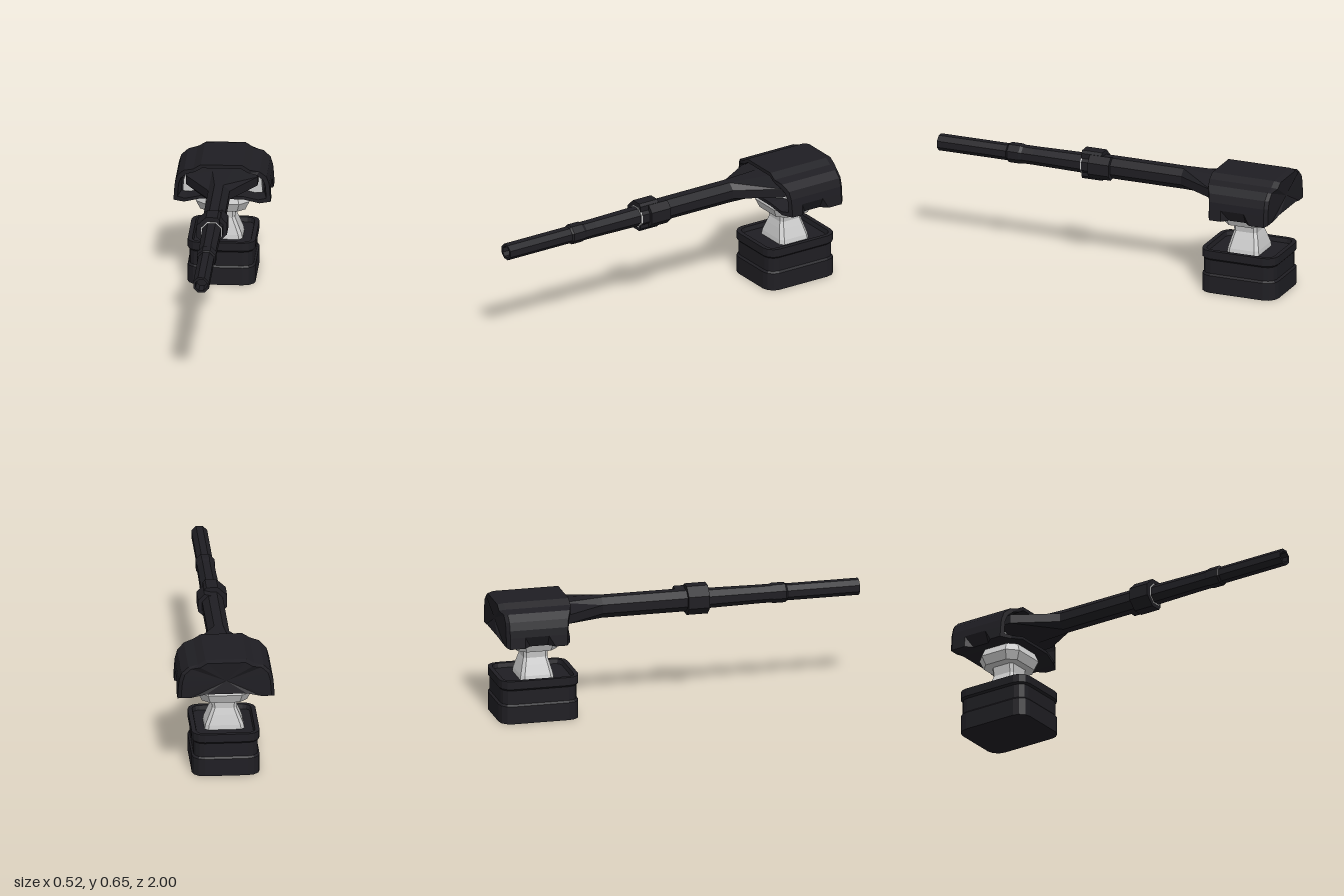
import * as THREE from 'three';

const grey = new THREE.MeshStandardMaterial({ color: 0xcccccc, flatShading: true });
const dark = new THREE.MeshStandardMaterial({ color: 0x1f1e23, flatShading: true });

// Skin a list of equal-length rings (counter-clockwise about the travel axis), capped at both ends.
function loft(name, rings, material) {
  const pos = [];
  const tri = (...pts) => pts.forEach((p) => pos.push(p.x, p.y, p.z));
  const n = rings[0].length;
  for (let r = 0; r < rings.length - 1; r++) {
    for (let i = 0; i < n; i++) {
      const j = (i + 1) % n, a = rings[r], b = rings[r + 1];
      tri(a[i], a[j], b[j]);
      tri(a[i], b[j], b[i]);
    }
  }
  const cap = (ring, flip) => {
    const c = ring.reduce((s, p) => s.add(p), new THREE.Vector3()).divideScalar(n);
    ring.forEach((p, i) => {
      const q = ring[(i + 1) % n];
      flip ? tri(c, q, p) : tri(c, p, q);
    });
  };
  cap(rings[0], true);
  cap(rings[rings.length - 1], false);
  const g = new THREE.BufferGeometry();
  g.setAttribute('position', new THREE.Float32BufferAttribute(pos, 3));
  g.computeVertexNormals();
  const mesh = new THREE.Mesh(g, material);
  mesh.name = name;
  return mesh;
}

const BASE_Z = -0.778;
const AXIS_Y = 0.56;

// Horizontal rectangle ring with rounded (or, with one segment, chamfered) corners.
function rectRing(y, hw, hd, r, seg) {
  const pts = [];
  [[1, 1], [-1, 1], [-1, -1], [1, -1]].forEach(([sx, sz], k) => {
    for (let i = 0; i <= seg; i++) {
      const a = (k + i / seg) * Math.PI / 2;
      pts.push(new THREE.Vector3(
        sx * (hw - r) + r * Math.cos(a), y, BASE_Z - sz * (hd - r) - r * Math.sin(a)));
    }
  });
  return pts;
}

// Octagon ring across the barrel axis, given its flat-to-centre distance.
function octRing(z, apothem) {
  return Array.from({ length: 8 }, (_, i) => {
    const a = (i - 0.5) * Math.PI / 4, r = apothem / Math.cos(Math.PI / 8);
    return new THREE.Vector3(r * Math.cos(a), AXIS_Y + r * Math.sin(a), z);
  });
}

const octTube = (name, steps, material = dark) =>
  loft(name, steps.map(([z, a]) => octRing(z, a)), material);

function extrude(name, points, z0, z1) {
  const shape = new THREE.Shape(points.map(([x, y]) => new THREE.Vector2(x, y)));
  const g = new THREE.ExtrudeGeometry(shape, { depth: z1 - z0, bevelEnabled: false });
  const mesh = new THREE.Mesh(g, dark);
  mesh.name = name;
  mesh.position.z = z0;
  return mesh;
}

// Mirrored hood cross-sections, right half from bottom to top.
const mirror = (half) => [...half, ...half.map(([x, y]) => [-x, y]).reverse()];
const hoodOuter = mirror([[0.115, 0.465], [0.2, 0.44], [0.258, 0.44], [0.254, 0.5], [0.25, 0.54],
  [0.237, 0.583], [0.2, 0.617], [0.15, 0.63], [0.11, 0.655]]);
const hoodInner = mirror([[0.11, 0.482], [0.195, 0.46], [0.235, 0.463], [0.233, 0.5], [0.23, 0.535],
  [0.217, 0.57], [0.185, 0.6], [0.14, 0.614], [0.105, 0.636]]);

function hoodRing(profile, zOf, scale = 1, notch = 0) {
  return profile.map(([x, y]) => {
    const inset = y < 0.45 && Math.abs(x) > 0.25 ? notch * Math.sign(x) : 0;
    return new THREE.Vector3(x * scale - inset, 0.55 + (y - 0.55) * scale, zOf(Math.abs(x)));
  });
}

export function createModel() {
  const model = new THREE.Group();

  // Grooved base block with a sunken top
  const base = [[0, 0], [0.096, 0], [0.106, 0.01], [0.182, 0.01], [0.192, 0],
    [0.236, 0], [0.236, 0.024], [0.212, 0.03]];
  model.add(loft('base', base.map(([y, inset]) =>
    rectRing(y, 0.18 - inset, 0.217 - inset, 0.065 - inset, 3)), dark));

  // Waisted neck and faceted swivel collar
  model.add(loft('neck', [[0.2, 0.108, 0.093, 0.02], [0.236, 0.101, 0.088, 0.018],
    [0.29, 0.079, 0.075, 0.016], [0.325, 0.064, 0.065, 0.014], [0.38, 0.071, 0.068, 0.016]]
    .map(([y, w, d, c]) => rectRing(y, w, d, c, 1)), grey));
  model.add(loft('swivelCollar', [[0.374, 0.12, 0.108, 0.042], [0.421, 0.142, 0.128, 0.052],
    [0.466, 0.123, 0.112, 0.044], [0.52, 0.11, 0.1, 0.04]]
    .map(([y, w, d, c]) => rectRing(y, w, d, c, 1)), grey));

  // Hood: bevelled back, side notches, raked front lip and hollow mouth
  const lip = (x) => -0.612 - Math.max(0, x - 0.17) * 0.5;
  const at = (z) => () => z;
  model.add(loft('hood', [
    hoodRing(hoodOuter, (x) => (x < 0.16 ? -1 : -0.985), 0.93),
    hoodRing(hoodOuter, at(-0.967)),
    hoodRing(hoodOuter, at(-0.885)),
    hoodRing(hoodOuter, at(-0.85), 1, 0.035),
    hoodRing(hoodOuter, at(-0.755), 1, 0.035),
    hoodRing(hoodOuter, at(-0.72)),
    hoodRing(hoodOuter, lip),
    hoodRing(hoodInner, lip),
    hoodRing(hoodInner, at(-0.73), 0.94),
  ], dark));
  model.add(loft('innerCore', [
    hoodRing(hoodInner, at(-0.76), 0.9),
    hoodRing(hoodInner, at(-0.71), 0.9),
  ], grey));

  // Wide yoke tapering into the barrel
  const yoke = [[0.19, 0.537], [0.19, 0.585], [0.05, 0.612], [-0.05, 0.612],
    [-0.19, 0.585], [-0.19, 0.537], [-0.05, 0.508], [0.05, 0.508]];
  const yokeRing = (z) => yoke.map(([x, y]) => new THREE.Vector3(x, y, z));
  model.add(loft('yoke', [yokeRing(-0.73), yokeRing(-0.635), octRing(-0.41, 0.057)], dark));

  // Stepped octagonal barrel
  model.add(octTube('rearBarrel', [[-0.41, 0.057], [0.165, 0.057]]));
  model.add(octTube('barrelSeal', [[0.16, 0.056], [0.172, 0.056]], grey));
  model.add(octTube('midBarrel', [[0.16, 0.05], [0.45, 0.046], [0.53, 0.046]]));
  model.add(octTube('barrelBand', [[0.515, 0.046], [0.53, 0.05], [0.595, 0.05], [0.605, 0.043]]));
  model.add(octTube('muzzle', [[0.59, 0.042], [1, 0.042], [1, 0.03], [0.93, 0.028]]));

  // Two offset halves of the barrel clamp
  model.add(extrude('clampMain', [[0.042, 0.5], [0.042, 0.627], [0.03, 0.641], [-0.03, 0.641],
    [-0.08, 0.595], [-0.08, 0.53], [-0.03, 0.484], [0.03, 0.484]], 0.055, 0.17));
  model.add(extrude('clampLug', [[0, 0.505], [0.045, 0.497], [0.078, 0.53], [0.078, 0.592],
    [0.045, 0.627], [0, 0.615]], 0, 0.12));

  return model;
}
